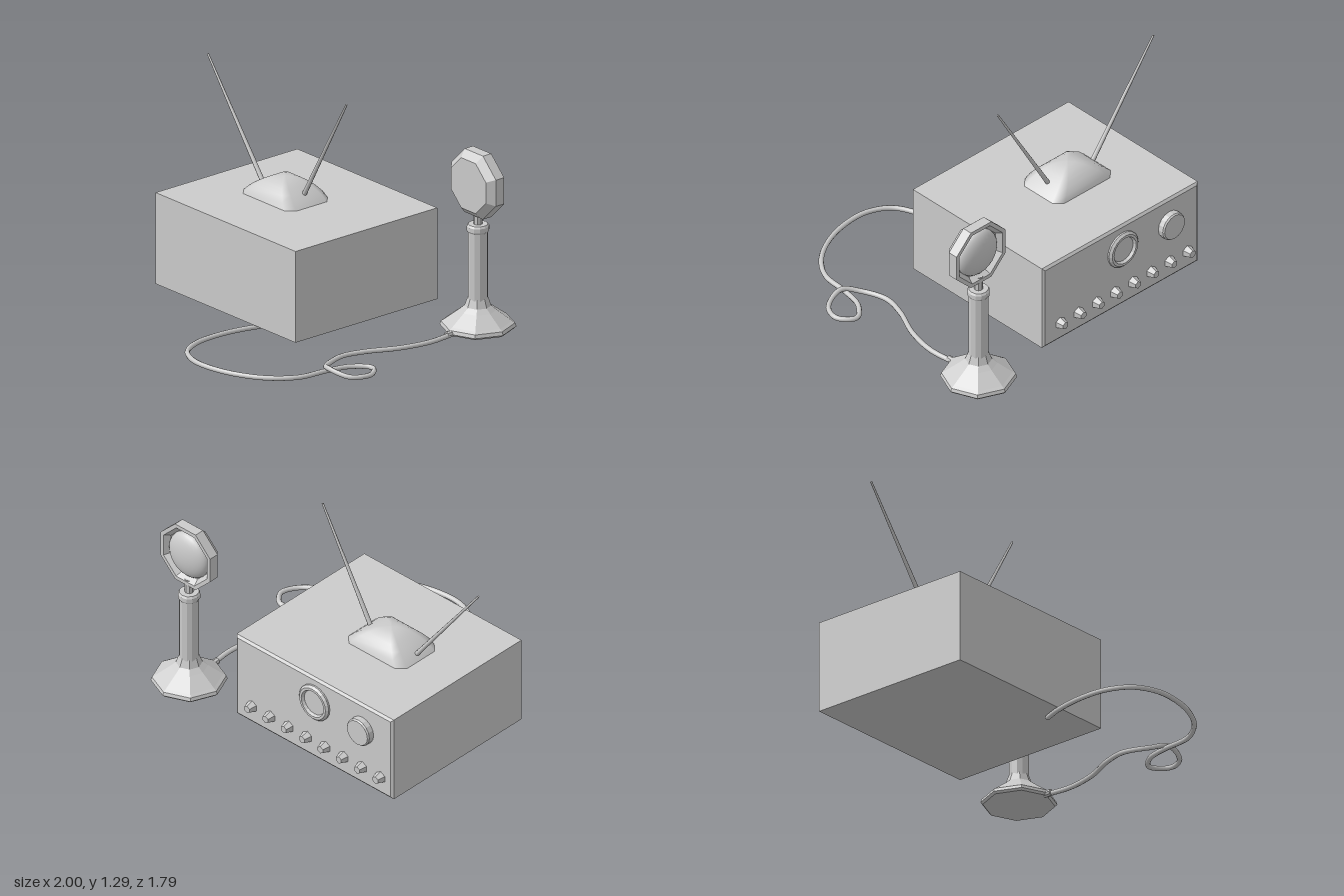
import * as THREE from 'three';

const grey = new THREE.MeshStandardMaterial({ color: 0xcccccc, side: THREE.DoubleSide });
const flat = new THREE.MeshStandardMaterial({ color: 0xcccccc, flatShading: true, side: THREE.DoubleSide });
const v3 = (p) => new THREE.Vector3(...p);
const lathe = (profile, sides) =>
  new THREE.LatheGeometry(profile.map(([r, y]) => new THREE.Vector2(r, y)), sides);

export function createModel() {
  const root = new THREE.Group();
  const add = (parent, name, geometry, material, x = 0, y = 0, z = 0) => {
    const mesh = new THREE.Mesh(geometry, material);
    mesh.name = name;
    mesh.position.set(x, y, z);
    parent.add(mesh);
    return mesh;
  };
  const group = (name) => {
    const g = new THREE.Group();
    g.name = name;
    root.add(g);
    return g;
  };

  // Cabinet with a shallow bevelled control panel on the -z side
  const radio = group('radio');
  add(radio, 'cabinet', new THREE.BoxGeometry(1.2, 0.545, 1.04), flat, -0.24, 0.317, -0.23);
  const panel = new THREE.BoxGeometry(1.2, 0.545, 0.012);
  const pos = panel.attributes.position;
  for (let i = 0; i < pos.count; i++) {
    if (pos.getZ(i) < 0) {
      pos.setX(i, pos.getX(i) - Math.sign(pos.getX(i)) * 0.015);
      pos.setY(i, pos.getY(i) - Math.sign(pos.getY(i)) * 0.015);
    }
  }
  add(radio, 'controlPanel', panel, flat, -0.24, 0.317, -0.756);

  // Controls, turned so their axes point out of the panel
  const control = (name, profile, sides, x, y) =>
    add(radio, name, lathe(profile, sides).rotateX(-Math.PI / 2), flat, x, y, -0.76);
  for (let i = 0; i < 8; i++) {
    control('smallKnob', [[0.037, 0], [0.034, 0.01], [0.023, 0.046], [0, 0.046]], 6, -0.75 + i * 0.14, 0.16);
  }
  control('tuningKnob', [[0.085, 0], [0.085, 0.037], [0.078, 0.046], [0, 0.046]], 16, -0.612, 0.417);
  control('dialRing', [[0.113, 0], [0.113, 0.012], [0.1, 0.025], [0.085, 0.025], [0.077, 0.008], [0, 0.008]],
    20, -0.25, 0.427);

  // Antenna mount: chamfered rectangular loops closing into a dome
  const loops = [[0.225, 0.16, 0], [0.19, 0.148, 0.034], [0.15, 0.125, 0.064],
    [0.112, 0.1, 0.088], [0.075, 0.07, 0.108], [0.035, 0.035, 0.119], [0, 0, 0.122]];
  const verts = [], index = [];
  for (const [w, d, y] of loops) {
    const a = w * 0.78, b = d * 0.7;
    for (const [x, z] of [[w, b], [a, d], [-a, d], [-w, b], [-w, -b], [-a, -d], [a, -d], [w, -b]]) {
      verts.push(x, y, z);
    }
  }
  for (let r = 0; r < loops.length - 1; r++) {
    for (let i = 0; i < 8; i++) {
      const a = r * 8 + i, b = r * 8 + (i + 1) % 8;
      index.push(a, a + 8, b, b, a + 8, b + 8);
    }
  }
  const dome = new THREE.BufferGeometry();
  dome.setAttribute('position', new THREE.Float32BufferAttribute(verts, 3));
  dome.setIndex(index);
  dome.computeVertexNormals();
  add(radio, 'antennaMount', dome, grey, -0.335, 0.59, -0.23);

  // Tapered rods
  const rod = (name, from, to) => {
    const a = v3(from), dir = v3(to).sub(a);
    const geometry = new THREE.CylinderGeometry(0.006, 0.014, dir.length(), 8);
    const mesh = add(radio, name, geometry, grey);
    mesh.position.copy(a).addScaledVector(dir, 0.5);
    mesh.quaternion.setFromUnitVectors(new THREE.Vector3(0, 1, 0), dir.normalize());
  };
  rod('rightAntenna', [-0.525, 0.612, -0.23], [-0.998, 1.243, -0.229]);
  rod('leftAntenna', [-0.185, 0.632, -0.235], [0.197, 1.29, -0.224]);

  // Microphone stand
  const mic = group('microphone');
  const mx = 0.785, mz = -0.685;
  add(mic, 'standBase', lathe([[0, 0], [0.13, 0.006], [0.203, 0.018], [0.215, 0.03], [0.208, 0.05],
    [0.19, 0.062], [0.105, 0.125], [0.075, 0.15], [0.057, 0.2]], 8), flat, mx, 0, mz);
  add(mic, 'standColumn', lathe([[0.057, 0.19], [0.057, 0.59], [0.064, 0.6], [0.064, 0.625],
    [0.056, 0.637], [0, 0.637]], 12), flat, mx, 0, mz);
  add(mic, 'neck', new THREE.CylinderGeometry(0.026, 0.026, 0.1, 8), flat, mx, 0.675, mz);

  // Octagonal head: bevelled on +z, hollowed around a bulging grille on -z
  const head = lathe([[0, -0.075], [0.162, -0.075], [0.205, -0.035], [0.205, 0.026], [0.18, 0.026],
    [0.155, -0.01], [0, -0.01]], 8);
  add(mic, 'microphoneHead', head.rotateY(Math.PI / 8).rotateX(-Math.PI / 2), flat, 0.79, 0.883, mz);
  const grille = new THREE.SphereGeometry(1, 24, 8, 0, Math.PI * 2, 0, Math.PI / 2);
  add(mic, 'grille', grille.scale(0.145, 0.064, 0.145).rotateX(-Math.PI / 2), grey, 0.79, 0.883, mz + 0.01);

  // Looped cable lying on the ground, crossing over itself once
  const path = [[0.03, 0.18], [-0.01, 0.29], [-0.045, 0.48], [-0.035, 0.67], [0.035, 0.805],
    [0.16, 0.87], [0.3, 0.875], [0.48, 0.83], [0.645, 0.73], [0.745, 0.59], [0.767, 0.41],
    [0.805, 0.265], [0.895, 0.185], [0.975, 0.265], [0.93, 0.375], [0.79, 0.417, 0.05],
    [0.7, 0.35], [0.65, 0.2], [0.683, 0.053], [0.767, -0.134], [0.805, -0.32], [0.79, -0.5]];
  const curve = new THREE.CatmullRomCurve3(path.map(([x, z, y = 0.027]) => new THREE.Vector3(x, y, z)));
  add(root, 'cable', new THREE.TubeGeometry(curve, 160, 0.015, 8), grey);
  add(root, 'cablePlug', new THREE.CylinderGeometry(0.02, 0.02, 0.05, 8).rotateX(Math.PI / 2), flat,
    0.79, 0.03, -0.475);

  return root;
}
